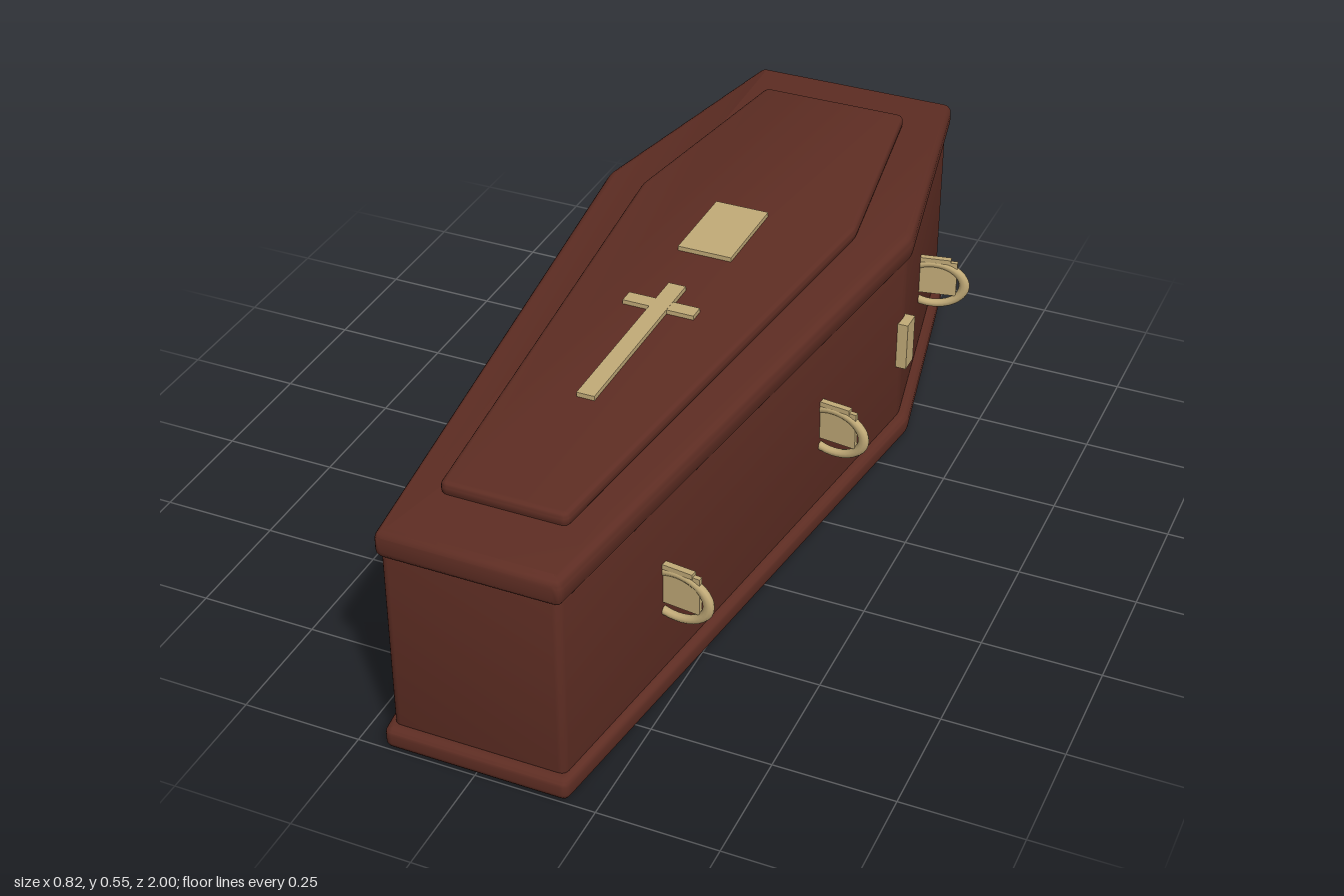
import * as THREE from 'three';
import { toCreasedNormals } from 'three/addons/utils/BufferGeometryUtils.js';

const wood = new THREE.MeshStandardMaterial({ color: 0x5e2d23 });
wood.name = 'mahogany wood';
const brass = new THREE.MeshStandardMaterial({ color: 0xc2ab78 });
brass.name = 'brass';

// Six-sided outline: foot at +z, shoulders at zMid, head at -z; slightly rounded corners
function outline(foot, zFoot, mid, zMid, head, zHead, r = 0.015) {
  // shape y becomes -z once the slab is laid flat
  const pts = [[foot, -zFoot], [mid, -zMid], [head, -zHead], [-head, -zHead], [-mid, -zMid], [-foot, -zFoot]]
    .map(([x, y]) => new THREE.Vector2(x, y));
  const shape = new THREE.Shape();
  pts.forEach((p, i) => {
    const prev = pts[(i + 5) % 6], next = pts[(i + 1) % 6];
    const a = prev.clone().sub(p).setLength(r).add(p);
    const b = next.clone().sub(p).setLength(r).add(p);
    if (i === 0) shape.moveTo(a.x, a.y);
    else shape.lineTo(a.x, a.y);
    shape.quadraticCurveTo(p.x, p.y, b.x, b.y);
  });
  shape.closePath();
  return shape;
}

// Horizontal slab from y0 to y1 with rounded rims
function slab(name, shape, y0, y1, bevel) {
  const geo = new THREE.ExtrudeGeometry(shape, {
    depth: y1 - y0 - 2 * bevel, bevelEnabled: true, bevelThickness: bevel,
    bevelSize: bevel, bevelOffset: -bevel, bevelSegments: 4, curveSegments: 4,
  });
  geo.rotateX(-Math.PI / 2);
  geo.translate(0, y0 + bevel, 0);
  const mesh = new THREE.Mesh(toCreasedNormals(geo, 0.6), wood);
  mesh.name = name;
  return mesh;
}

// Brass box given by its minimum and maximum corners
function box(name, min, max) {
  const size = max.map((v, i) => v - min[i]);
  const mesh = new THREE.Mesh(new THREE.BoxGeometry(...size), brass);
  mesh.position.set(...max.map((v, i) => (v + min[i]) / 2));
  mesh.name = name;
  return mesh;
}

// Handle standing out from the wall along local +x
function makeHandle() {
  const handle = new THREE.Group();
  handle.name = 'handle';
  const ring = new THREE.Mesh(new THREE.TorusGeometry(0.052, 0.009, 10, 36), brass);
  ring.name = 'handleRing';
  ring.scale.x = 1.36;
  ring.position.set(0.03, 0.24, 0);
  handle.add(ring);
  handle.add(box('handlePlate', [-0.01, 0.215, -0.005], [0.083, 0.3, 0.005]));
  handle.add(box('handleHinge', [-0.01, 0.296, -0.007], [0.068, 0.307, 0.007]));
  return handle;
}

export function createModel() {
  const model = new THREE.Group();
  model.name = 'coffin';

  // Wooden case
  model.add(slab('base', outline(0.192, 1, 0.369, -0.38, 0.245, -1), 0, 0.05, 0.016));
  model.add(slab('body', outline(0.18, 0.98, 0.347, -0.38, 0.23, -0.98), 0.045, 0.455, 0.008));
  model.add(slab('lid', outline(0.187, 0.99, 0.358, -0.38, 0.238, -0.99), 0.448, 0.51, 0.02));
  model.add(slab('lidPanel', outline(0.13, 0.84, 0.249, -0.32, 0.17, -0.845), 0.505, 0.537, 0.012));

  // Name plate and cross on the lid
  model.add(box('namePlate', [-0.06, 0.53, -0.29], [0.06, 0.547, -0.085]));
  const cross = new THREE.Group();
  cross.name = 'cross';
  cross.add(box('crossPost', [-0.019, 0.53, 0.055], [0.019, 0.547, 0.49]));
  cross.add(box('crossArm', [-0.078, 0.53, 0.119], [0.078, 0.5465, 0.152]));
  model.add(cross);

  // Handles set square to each wall, and shoulder plates, on both sides
  const spots = [[0.221, 0.625, -0.12], [0.3, -0.003, -0.12], [0.299, -0.632, 0.19]];
  for (const side of [1, -1]) {
    for (const [x, z, turn] of spots) {
      const handle = makeHandle();
      handle.position.set(side * x, 0, z);
      handle.rotation.y = side > 0 ? turn : Math.PI - turn;
      model.add(handle);
    }
    const xs = [side * 0.325, side * 0.367].sort((a, b) => a - b);
    model.add(box('shoulderPlate', [xs[0], 0.19, -0.396], [xs[1], 0.302, -0.35]));
  }
  return model;
}
